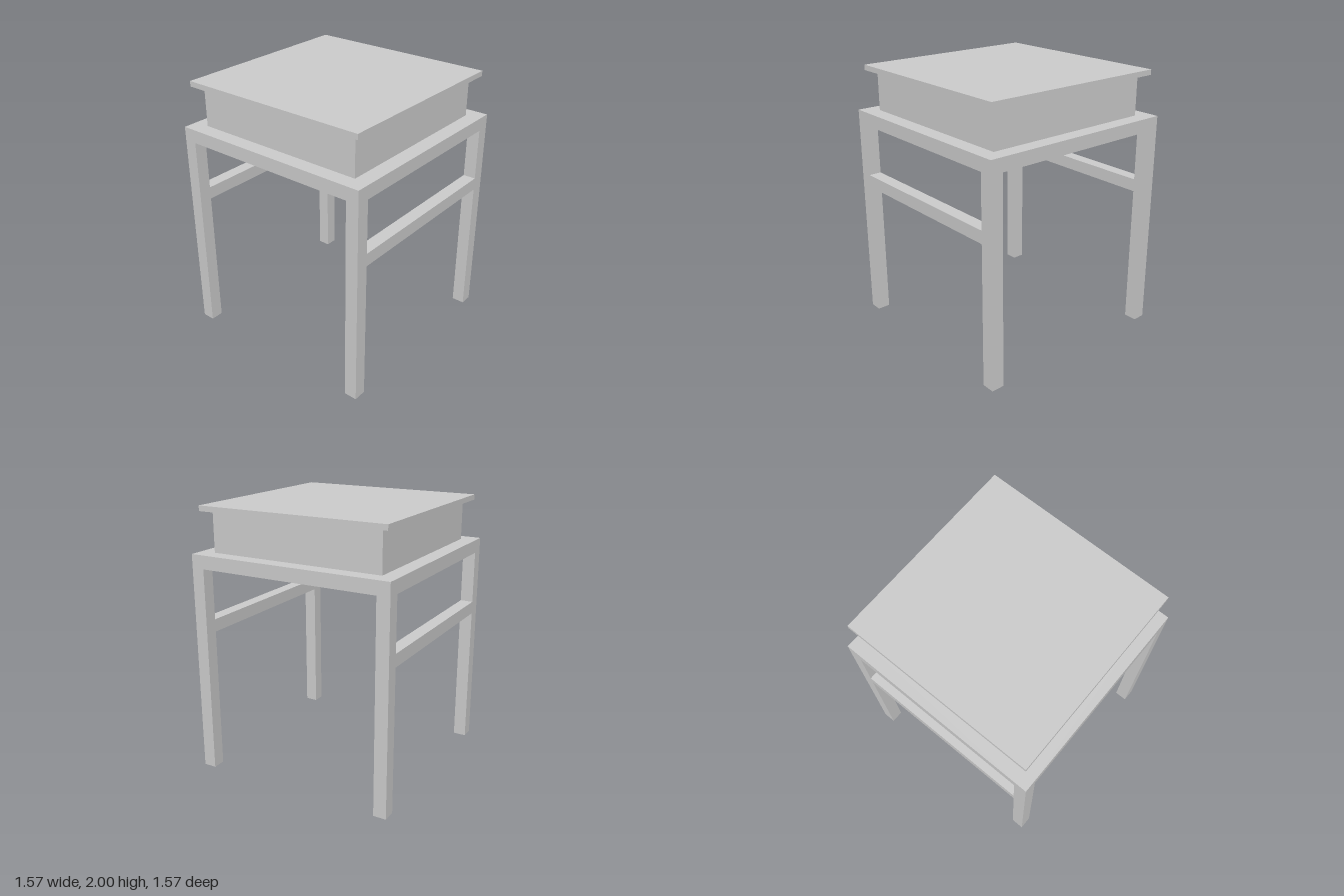
import * as THREE from 'three';

const OUT = 0.783; // half width of the frame
const BAR = 0.097; // thickness of legs and rails
const IN = OUT - BAR;
const MID = OUT - BAR / 2;

export function createModel() {
  const group = new THREE.Group();
  const material = new THREE.MeshStandardMaterial({ color: 0xcccccc });

  const add = (name, geometry, x, y, z) => {
    const mesh = new THREE.Mesh(geometry, material);
    mesh.name = name;
    mesh.position.set(x, y, z);
    group.add(mesh);
  };
  // box given by its bottom and top heights
  const addBox = (name, w, d, y0, y1, x = 0, z = 0) =>
    add(name, new THREE.BoxGeometry(w, y1 - y0, d), x, (y0 + y1) / 2, z);

  // square ring of rails around the top of the legs
  const square = (path, h) =>
    path.moveTo(-h, -h).lineTo(h, -h).lineTo(h, h).lineTo(-h, h).closePath();
  const ring = square(new THREE.Shape(), OUT);
  ring.holes.push(square(new THREE.Path(), IN));
  const frame = new THREE.ExtrudeGeometry(ring, { depth: 0.1, bevelEnabled: false });
  frame.rotateX(-Math.PI / 2);
  add('topFrame', frame, 0, 1.56, 0);

  // board closing the frame from below
  addBox('framePanel', 2 * IN, 2 * IN, 1.65, 1.66);

  // cushion body and overhanging top
  addBox('seatBody', 1.335, 1.34, 1.66, 1.96);
  addBox('seatTop', 1.47, 1.47, 1.96, 2);

  // four legs, and one stretcher on each side
  for (const sx of [-1, 1]) {
    for (const sz of [-1, 1]) addBox('leg', BAR, BAR, 0, 1.56, sx * MID, sz * MID);
    addBox('sideStretcher', BAR, 2 * IN, 1.07, 1.165, sx * MID, 0);
  }
  return group;
}
